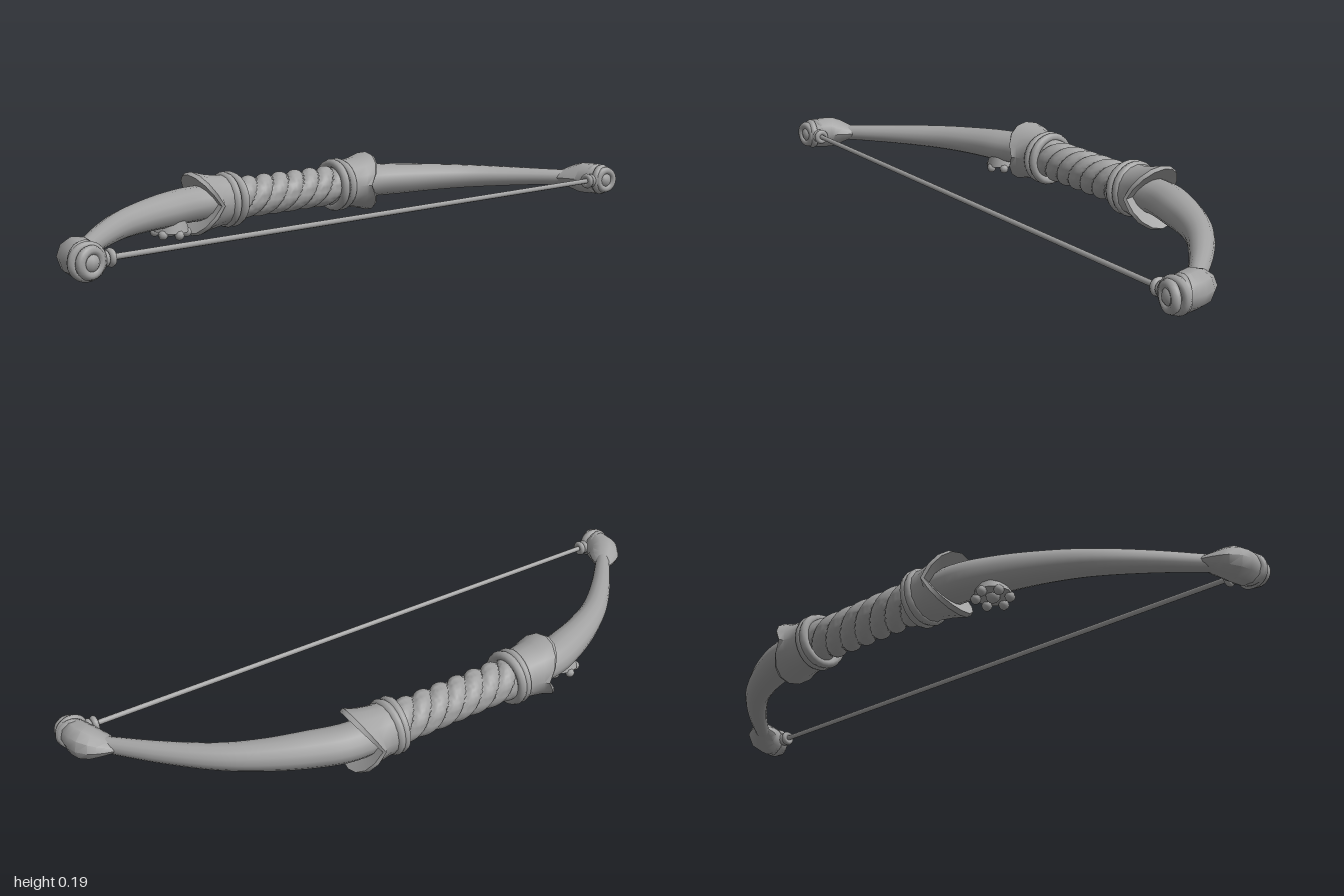
import * as THREE from 'three';
import { toCreasedNormals } from 'three/addons/utils/BufferGeometryUtils.js';

const grey = new THREE.MeshStandardMaterial({ color: 0xa3a3a3 });
grey.name = 'plain grey';

const GRIP_X = -0.21, STRING_X = 0.262, MID_Y = 0.095;

function add(parent, name, geometry, x = 0, y = 0, z = 0) {
  const mesh = new THREE.Mesh(geometry, grey);
  mesh.name = name;
  mesh.position.set(x, y, z);
  parent.add(mesh);
  return mesh;
}

// Closed tube-like surface: point(u, angle) for u in 0..1
function sweep(point, rows, sides, crease = 0.7) {
  const pos = [], index = [];
  for (let i = 0; i <= rows; i++) {
    for (let j = 0; j < sides; j++) pos.push(...point(i / rows, (j / sides) * Math.PI * 2));
  }
  for (let i = 0; i < rows; i++) {
    for (let j = 0; j < sides; j++) {
      const k = (j + 1) % sides;
      const a = i * sides + j, b = i * sides + k, c = a + sides, d = b + sides;
      index.push(a, b, c, b, d, c);
    }
  }
  const g = new THREE.BufferGeometry();
  g.setAttribute('position', new THREE.Float32BufferAttribute(pos, 3));
  g.setIndex(index);
  return toCreasedNormals(g, crease);
}

// Oval loft through sections [x, z, half width, half height]
function loft(sections, rows, sides) {
  const path = new THREE.CatmullRomCurve3(sections.map(s => new THREE.Vector3(s[0], 0, s[1])));
  const size = new THREE.CatmullRomCurve3(sections.map(s => new THREE.Vector3(s[2], s[3], 0)));
  return sweep((u, a) => {
    const c = path.getPoint(u), t = path.getTangent(u), s = size.getPoint(u);
    const w = Math.cos(a) * s.x;
    return [c.x + t.z * w, Math.sin(a) * s.y, c.z - t.x * w];
  }, rows, sides);
}

// Ring around the z axis, slightly squashed or tilted by the caller
const ring = (radius, tube) => new THREE.TorusGeometry(radius, tube, 8, 24);

// Cuff profile: [radius, z, how much the zigzag rim moves it]
const CUFF = [[0.055, 0.2, 0], [0.076, 0.212, 0], [0.076, 0.25, 0], [0.083, 0.285, 0.3],
  [0.095, 0.312, 0.9], [0.088, 0.322, 1], [0.05, 0.3, 0.6]];

function makeHalf() {
  const half = new THREE.Group();

  // Curved limb
  add(half, 'limb', loft([
    [-0.21, 0.22, 0.058, 0.052], [-0.207, 0.35, 0.06, 0.052], [-0.175, 0.45, 0.057, 0.05],
    [-0.13, 0.555, 0.048, 0.044], [-0.068, 0.66, 0.039, 0.038], [0.035, 0.78, 0.031, 0.031],
    [0.16, 0.9, 0.022, 0.024]], 28, 14));

  // Flared cuff with points above and below
  add(half, 'cuff', sweep((u, a) => {
    const [r, z, k] = CUFF[Math.round(u * (CUFF.length - 1))];
    const point = (Math.abs(Math.sin(a)) - 0.5) * 0.06;
    return [Math.cos(a) * r, Math.sin(a) * r, z + k * point];
  }, CUFF.length - 1, 16), GRIP_X);

  // Bound collar between cuff and grip
  add(half, 'collarRing', ring(0.07, 0.014), GRIP_X, 0, 0.2).rotation.y = 0.06;
  add(half, 'collarRing', ring(0.07, 0.014), GRIP_X, 0, 0.222).rotation.y = -0.04;

  // Cap at the limb's end
  add(half, 'tipCap', loft([
    [0.13, 0.875, 0.022, 0.012], [0.16, 0.905, 0.042, 0.03], [0.195, 0.935, 0.05, 0.049],
    [0.235, 0.946, 0.045, 0.05], [0.265, 0.95, 0.036, 0.04], [0.28, 0.951, 0.001, 0.001]], 10, 10));

  // String wound around the tip
  [[0.25, 0.3], [0.268, -0.15], [0.284, 0.2]].forEach(([x, tilt], i) => {
    const turn = add(half, 'tipBinding', ring(i === 2 ? 0.03 : 0.037, 0.0125), x, 0, 0.95);
    turn.rotation.set(0, Math.PI / 2 + tilt, 0);
  });
  add(half, 'tipKnot', new THREE.SphereGeometry(0.03, 12, 8), 0.27, 0, 0.95);

  // Loop where the string meets the tip
  add(half, 'stringLoop', ring(0.015, 0.009), STRING_X, 0, 0.885);
  add(half, 'stringLoop', ring(0.013, 0.009), STRING_X, 0, 0.902);
  return half;
}

export function createModel() {
  const model = new THREE.Group();
  model.name = 'bow';
  const body = new THREE.Group();
  body.name = 'bowBody';
  body.position.y = MID_Y;
  model.add(body);

  // Two matching halves
  const near = makeHalf(), far = makeHalf();
  near.name = 'frontHalf';
  far.name = 'backHalf';
  far.rotation.x = Math.PI;
  body.add(near, far);

  // Grip of three twisted strands
  add(body, 'twistedGrip', sweep((u, a) => {
    const z = (u - 0.5) * 0.42;
    const r = 0.047 + 0.017 * Math.sqrt(Math.abs(Math.cos(1.5 * (a + 35 * z))));
    return [Math.cos(a) * r, Math.sin(a) * r, z];
  }, 60, 48, 1), GRIP_X);

  // Bowstring
  add(body, 'bowstring', new THREE.CylinderGeometry(0.008, 0.008, 1.84, 8), STRING_X)
    .rotation.x = Math.PI / 2;

  // Small rosette under the front limb
  const rosette = new THREE.Group();
  rosette.name = 'rosette';
  rosette.position.set(-0.18, -0.052, 0.432);
  rosette.rotation.z = -0.08;
  body.add(rosette);
  add(rosette, 'rosetteDisc', new THREE.CylinderGeometry(0.042, 0.053, 0.032, 12), 0, 0.008, 0);
  for (let i = 0; i < 6; i++) {
    const a = (i / 6) * Math.PI * 2;
    add(rosette, 'rosetteBead', new THREE.SphereGeometry(0.0145, 8, 6),
      Math.cos(a) * 0.046, -0.014, Math.sin(a) * 0.046);
  }
  add(rosette, 'rosetteCentre', new THREE.SphereGeometry(0.02, 10, 8), 0, -0.008, 0);

  return model;
}
